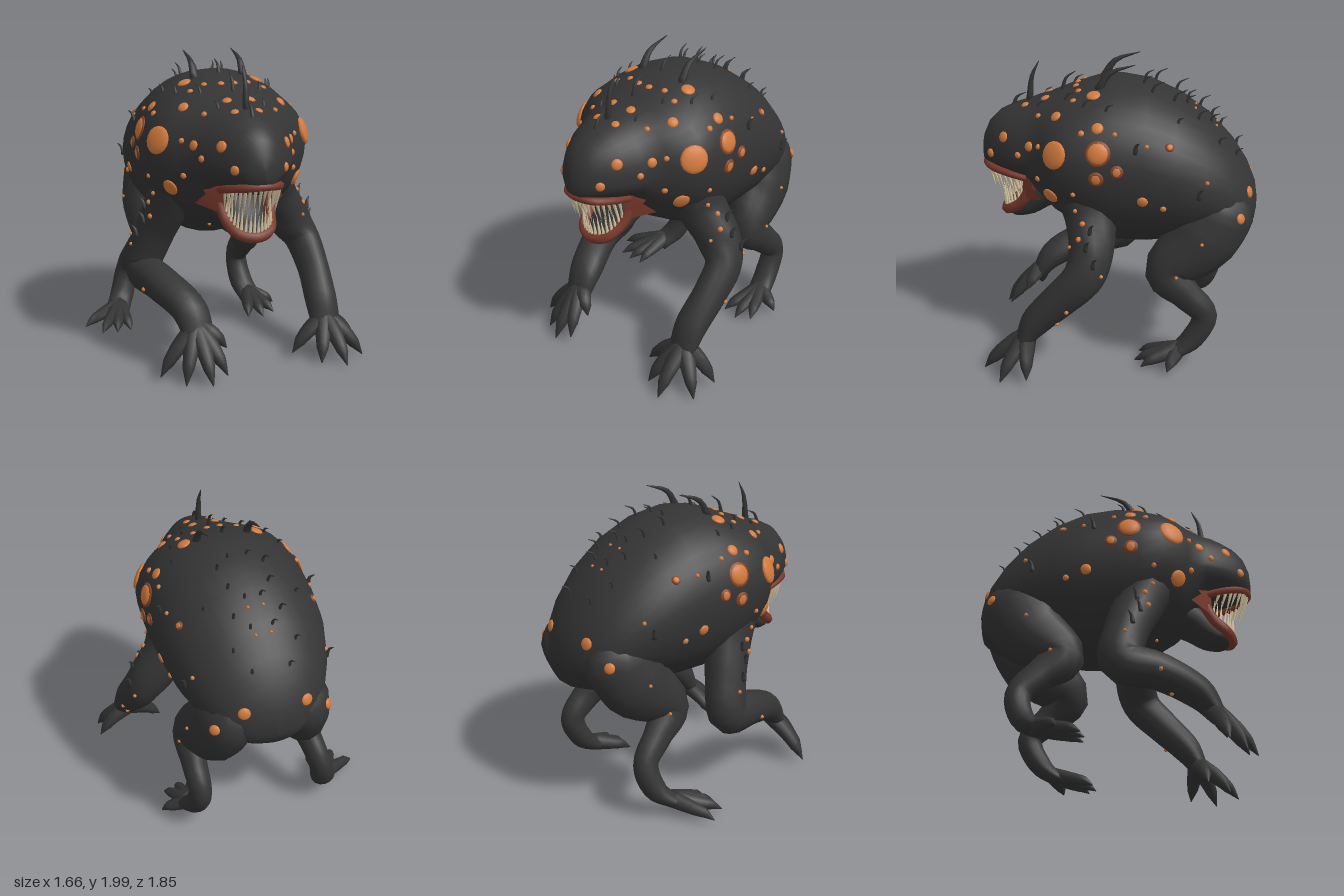
import * as THREE from 'three';

const V = (x, y, z) => new THREE.Vector3(x, y, z);
const paint = (name, color, side = THREE.FrontSide) =>
  Object.assign(new THREE.MeshStandardMaterial({ color, side }), { name });

// Skin over a list of closed rings, each a list of points
function loft(rings) {
  const n = rings[0].length, pos = [], idx = [];
  rings.forEach(r => r.forEach(p => pos.push(p.x, p.y, p.z)));
  for (let i = 0; i < rings.length - 1; i++) for (let j = 0; j < n; j++) {
    const a = i * n + j, b = i * n + (j + 1) % n;
    idx.push(a, b, a + n, b, b + n, a + n);
  }
  const g = new THREE.BufferGeometry();
  g.setAttribute('position', new THREE.Float32BufferAttribute(pos, 3));
  g.setIndex(idx);
  g.computeVertexNormals();
  return g;
}

// Tapered limb through points [x, y, z, depth radius, width radius]
function limb(pts, steps = 20, sides = 12) {
  const curve = new THREE.CatmullRomCurve3(pts.map(p => V(p[0], p[1], p[2])), false, 'centripetal');
  const rings = [];
  const ring = (t, s) => {
    const f = t * (pts.length - 1), i = Math.min(Math.floor(f), pts.length - 2), k = f - i;
    const rd = THREE.MathUtils.lerp(pts[i][3], pts[i + 1][3], k) * s;
    const rw = THREE.MathUtils.lerp(pts[i][4], pts[i + 1][4], k) * s;
    const c = curve.getPoint(t), T = curve.getTangent(t);
    const A = T.clone().cross(V(1, 0, 0)).normalize(), B = T.clone().cross(A);
    rings.push(Array.from({ length: sides }, (_, j) => {
      const a = j / sides * Math.PI * 2;
      return c.clone().addScaledVector(A, Math.cos(a) * rd).addScaledVector(B, Math.sin(a) * rw);
    }));
  };
  ring(0, 0.01);
  for (let i = 0; i <= steps; i++) ring(i / steps, 1);
  ring(1, 0.01);
  return loft(rings);
}

export function createModel() {
  const model = new THREE.Group();
  const skin = paint('charcoal skin', 0x343434);
  const orange = paint('orange blister', 0xd27a3c);
  const rust = paint('rust blister rim', 0x86452a);
  const gum = paint('red gum', 0x78392b, THREE.DoubleSide);
  const ivory = paint('ivory tooth', 0xd6c5a2);
  const add = (name, geo, mat, parent = model) => {
    const m = new THREE.Mesh(geo, mat);
    m.name = name;
    parent.add(m);
    return m;
  };
  const group = name => {
    const g = new THREE.Group();
    g.name = name;
    model.add(g);
    return g;
  };

  // Hunched body and head: z, top, bottom, half width, height of widest point
  const sections = [
    [-0.925, 1.08, 1.0, 0, 1.04], [-0.91, 1.18, 0.94, 0.17, 1.05], [-0.85, 1.32, 0.89, 0.29, 1.1],
    [-0.75, 1.47, 0.86, 0.38, 1.15], [-0.6, 1.63, 0.85, 0.46, 1.22], [-0.4, 1.77, 0.8, 0.52, 1.3],
    [-0.2, 1.86, 0.77, 0.54, 1.35], [0, 1.89, 0.77, 0.55, 1.38], [0.15, 1.87, 0.82, 0.555, 1.4],
    [0.3, 1.82, 0.91, 0.545, 1.42], [0.4, 1.78, 0.97, 0.49, 1.41], [0.47, 1.755, 1.03, 0.41, 1.4],
    [0.54, 1.735, 1.1, 0.345, 1.39], [0.6, 1.71, 1.2, 0.32, 1.38], [0.7, 1.68, 1.22, 0.27, 1.38],
    [0.8, 1.63, 1.24, 0.2, 1.38], [0.87, 1.56, 1.255, 0.14, 1.38], [0.91, 1.47, 1.27, 0.08, 1.36],
    [0.925, 1.38, 1.32, 0, 1.35],
  ];
  const body = add('body', loft(sections.map(([z, top, bottom, w, mid]) =>
    Array.from({ length: 36 }, (_, j) => {
      const a = j / 36 * Math.PI * 2, s = Math.sin(a);
      return V(w * Math.cos(a), mid + s * (s > 0 ? top - mid : mid - bottom), z);
    }))), skin);

  // Limbs with clawed digits: each digit arches from the palm to its tip
  const solids = [body];
  const leg = (name, path, tips, thick, arch) => {
    const g = group(name);
    solids.push(add(name + 'Limb', limb(path, 32, 14), skin, g));
    const p = path[path.length - 1], q = path[path.length - 2];
    const root = V(p[0], p[1], p[2]).lerp(V(q[0], q[1], q[2]), 0.35);
    tips.forEach(t => {
      const tip = V(...t), knuckle = root.clone().lerp(tip, 0.5);
      knuckle.y += arch;
      const claw = knuckle.clone().lerp(tip, 0.55);
      add('digit', limb([
        [...root.toArray(), thick * 1.3, thick * 1.3], [...knuckle.toArray(), thick, thick],
        [claw.x, claw.y + 0.01, claw.z, thick * 0.75, thick * 0.75], [...t, 0.003, 0.003],
      ], 9, 7), skin, g);
    });
  };
  leg('leftArm', [
    [0.28, 1.4, 0.22, 0.06, 0.06], [0.33, 1.22, 0.2, 0.19, 0.16], [0.385, 1.04, 0.15, 0.17, 0.155],
    [0.51, 0.85, 0.13, 0.145, 0.15], [0.595, 0.71, 0.17, 0.135, 0.115], [0.61, 0.55, 0.32, 0.12, 0.105],
    [0.595, 0.37, 0.49, 0.1, 0.11], [0.595, 0.2, 0.59, 0.05, 0.1],
  ], [[0.34, 0.06, 0.61], [0.48, 0.03, 0.77], [0.63, 0.02, 0.84], [0.81, 0.02, 0.7], [0.83, 0.06, 0.52]], 0.052, 0.03);
  leg('rightArm', [
    [-0.28, 1.4, 0.22, 0.06, 0.06], [-0.33, 1.22, 0.2, 0.19, 0.16], [-0.37, 1.04, 0.14, 0.17, 0.145],
    [-0.44, 0.82, 0.06, 0.145, 0.135], [-0.51, 0.58, 0.03, 0.145, 0.12], [-0.46, 0.53, 0.26, 0.12, 0.12],
    [-0.35, 0.42, 0.52, 0.1, 0.12], [-0.32, 0.27, 0.64, 0.05, 0.1],
  ], [[-0.59, 0.05, 0.67], [-0.46, 0.02, 0.79], [-0.31, 0.03, 0.87], [-0.2, 0.07, 0.83], [-0.16, 0.2, 0.7]], 0.052, 0.03);
  leg('leftHindLeg', [
    [0.18, 1.26, -0.64, 0.08, 0.08], [0.24, 1.08, -0.65, 0.265, 0.19], [0.3, 0.88, -0.56, 0.245, 0.19],
    [0.38, 0.67, -0.35, 0.145, 0.13], [0.41, 0.53, -0.48, 0.105, 0.085], [0.41, 0.38, -0.61, 0.085, 0.075],
    [0.42, 0.2, -0.53, 0.075, 0.085], [0.45, 0.1, -0.4, 0.04, 0.085],
  ], [[0.34, 0.04, -0.17], [0.45, 0.03, -0.15], [0.55, 0.04, -0.2], [0.62, 0.05, -0.38]], 0.045, 0.01);
  leg('rightHindLeg', [
    [-0.18, 1.26, -0.64, 0.08, 0.08], [-0.24, 1.08, -0.65, 0.265, 0.19], [-0.29, 0.88, -0.56, 0.245, 0.19],
    [-0.35, 0.67, -0.35, 0.145, 0.13], [-0.41, 0.53, -0.48, 0.105, 0.085], [-0.45, 0.38, -0.61, 0.085, 0.075],
    [-0.5, 0.2, -0.57, 0.075, 0.085], [-0.57, 0.1, -0.45, 0.04, 0.085],
  ], [[-0.83, 0.05, -0.35], [-0.74, 0.04, -0.21], [-0.64, 0.04, -0.19], [-0.54, 0.04, -0.2]], 0.045, 0.01);

  // Open mouth: lower jaw, lips, cheek membranes and needle teeth
  const mouth = group('mouth');
  add('lowerJaw', limb([[0, 1.14, 0.38, 0.12, 0.2], [0, 1.07, 0.51, 0.11, 0.18], [0, 0.98, 0.62, 0.085, 0.15],
    [0, 0.945, 0.71, 0.06, 0.12], [0, 0.945, 0.78, 0.02, 0.07]], 16, 16), skin, mouth);
  const bow = half => new THREE.CatmullRomCurve3([
    ...half.map(p => V(-p[0], p[1], p[2])), ...half.slice(0, -1).reverse().map(p => V(...p))]);
  const upper = bow([[0.17, 1.2, 0.56], [0.165, 1.245, 0.74], [0.11, 1.27, 0.86], [0, 1.28, 0.9]]);
  const lower = bow([[0.17, 1.19, 0.56], [0.15, 1.04, 0.64], [0.105, 0.96, 0.74], [0, 0.935, 0.78]]);
  add('upperLip', new THREE.TubeGeometry(upper, 32, 0.026, 7), gum, mouth);
  add('lowerLip', new THREE.TubeGeometry(lower, 32, 0.037, 7), gum, mouth);
  for (const s of [-1, 1]) {
    const g = new THREE.BufferGeometry();
    g.setAttribute('position', new THREE.Float32BufferAttribute([
      0.16, 1.24, 0.63, 0.27, 1.22, 0.53, 0.25, 1.18, 0.56, 0.3, 1.11, 0.49, 0.16, 1.06, 0.64,
    ].map((v, i) => i % 3 ? v : v * s), 3));
    g.setIndex([0, 2, 1, 0, 4, 2, 2, 4, 3]);
    g.computeVertexNormals();
    add('cheekMembrane', g, gum, mouth);
  }
  const tooth = (base, tip, r) => {
    const d = tip.clone().sub(base), m = add('tooth', new THREE.ConeGeometry(r, d.length(), 5), ivory, mouth);
    m.position.copy(base).addScaledVector(d, 0.5);
    m.quaternion.setFromUnitVectors(V(0, 1, 0), d.normalize());
  };
  for (let i = 0; i < 18; i++) {
    const t = 0.12 + 0.76 * i / 17, len = 0.14 + 0.05 * (i % 3) / 2;
    const u = upper.getPoint(t), l = lower.getPoint(0.06 + t * 0.88);
    tooth(u, V(u.x * 0.92, u.y - len, u.z - 0.05), 0.014);
    tooth(l, V(l.x * 0.92, l.y + len, l.z + 0.02), 0.014);
  }

  // Surface finder used by blisters and spines
  const ray = new THREE.Raycaster();
  const hitFrom = (origin, dir) => {
    ray.set(origin, dir);
    return ray.intersectObjects(solids, false)[0];
  };
  const fromSide = (s, z, y) => hitFrom(V(2 * s, y, z), V(-s, 0, 0));
  const fromTop = (x, z) => hitFrom(V(x, 3, z), V(0, -1, 0));

  // Glowing blisters: shallow domes lying on the skin
  const blisters = group('blisters');
  const dome = (hit, r, mat, height) => {
    if (!hit) return;
    const m = add('blister', new THREE.SphereGeometry(1, 12, 8), mat, blisters);
    m.scale.set(r, r, height);
    m.position.copy(hit.point);
    m.quaternion.setFromUnitVectors(V(0, 0, 1), hit.face.normal);
  };
  const sideSpots = [
    [0.36, 1.5, 0.09], [0.08, 1.53, 0.07, 1], [0.09, 1.37, 0.042, 1], [0.4, 1.2, 0.055], [0.14, 1.82, 0.045],
    [0.09, 1.67, 0.038], [0.37, 1.7, 0.035], [0.74, 1.51, 0.036], [0.84, 1.38, 0.03], [0.55, 1.49, 0.032],
    [0.63, 1.42, 0.022], [-0.04, 1.42, 0.036, 1], [-0.36, 1.56, 0.025, 1], [-0.2, 1.22, 0.035], [-0.33, 1.17, 0.02],
    [-0.87, 1.19, 0.04], [-0.82, 1.07, 0.035], [0.19, 1.64, 0.02], [-0.6, 1.33, 0.014], [0.49, 1.29, 0.02],
    [0.24, 1.25, 0.016], [0.23, 1.13, 0.015], [0.18, 1.06, 0.018], [0.2, 0.97, 0.018], [0.26, 0.9, 0.012],
    [0.05, 0.75, 0.013], [0.27, 0.5, 0.014], [0.34, 0.39, 0.014], [-0.42, 0.68, 0.012], [-0.58, 0.92, 0.012],
    [0.48, 1.51, 0.018], [0.5, 1.67, 0.018], [-0.22, 1.57, 0.014], [-0.02, 1.64, 0.016],
  ];
  const topSpots = [[0.08, 0.48, 0.03], [0.08, 0.615, 0.026], [0.15, 0.25, 0.02],
    [0.045, 0.28, 0.022], [0.05, -0.5, 0.01], [0.25, 0.27, 0.02], [0.05, -0.64, 0.01]];
  for (const s of [-1, 1]) {
    sideSpots.forEach(([z, y, r, rim]) => {
      const hit = fromSide(s, z, y);
      if (rim) dome(hit, r * 1.17, rust, 0.014);
      dome(hit, r, orange, r > 0.06 ? 0.026 : 0.016);
    });
    topSpots.forEach(([x, z, r]) => dome(fromTop(s * x, z), r, orange, 0.012));
  }

  // Swept spines: root on the skin, curving to an offset tip
  const spines = group('spines');
  const spine = (hit, dx, dy, dz, r) => {
    if (!hit) return;
    const { x, y, z } = hit.point;
    add('spine', limb([[x, y - 0.02, z, r, r], [x + dx * 0.35, y + dy * 0.6, z + dz * 0.3, r * 0.6, r * 0.6],
      [x + dx, y + dy, z + dz, 0.002, 0.002]], 6, 6), skin, spines);
  };
  spine(fromTop(0, 0.6), 0, 0.26, -0.07, 0.024);
  [[0.71, 0.08], [0.38, 0.12], [0.12, 0.08]].forEach(([z, h]) => spine(fromTop(0, z), 0, h, -0.09, 0.015));
  for (const s of [-1, 1]) {
    spine(fromTop(s * 0.17, 0.12), 0, 0.155, -0.24, 0.03);
    [[0.06, -0.16, 0.05], [0.15, -0.22, 0.07], [0.13, -0.36, 0.07], [0.05, -0.44, 0.05], [0.15, -0.52, 0.06],
      [0.07, -0.6, 0.05], [0.2, -0.66, 0.04], [0.3, -0.4, 0.03], [0.36, 0.05, 0.04], [0.2, 0.33, 0.05],
      [0.32, 0.2, 0.05], [0.15, 0.52, 0.04], [0.12, -0.77, 0.04]]
      .forEach(([x, z, h]) => spine(fromTop(s * x, z), s * 0.015, h, -h * 1.2, 0.012));
    // Spurs down the outer arms and flanks
    [[0.13, 1.02], [0.15, 0.93], [0.1, 0.83], [-0.55, 1.25], [-0.15, 1.55]]
      .forEach(([z, y]) => spine(fromSide(s, z, y), s * 0.035, 0.06, -0.03, 0.017));
  }
  return model;
}
